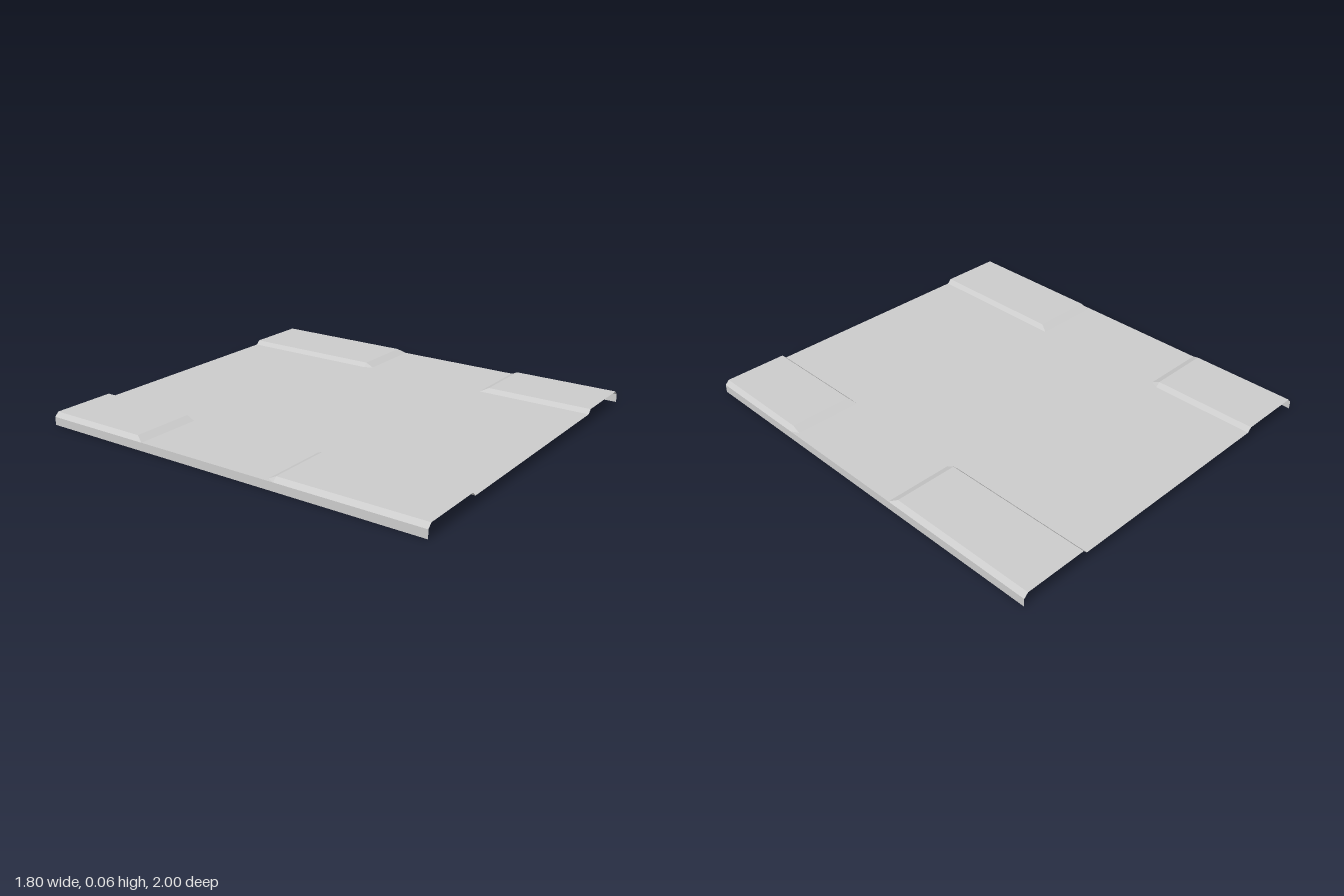
import * as THREE from 'three';

const ROAD_Y = 0.04, WALK_Y = 0.06;
const INNER = 0.55, OUTER = 0.9, BEVEL = 0.02, RAMP = 0.04;

// Joins rows of points into a flat-shaded sheet; flip reverses the facing.
function sheet(rows, flip = false) {
  const pos = [];
  for (let i = 0; i < rows.length - 1; i++) {
    for (let j = 0; j < rows[i].length - 1; j++) {
      const a = rows[i][j], b = rows[i + 1][j], c = rows[i + 1][j + 1], d = rows[i][j + 1];
      pos.push(...(flip ? [a, c, b, a, d, c] : [a, b, c, a, c, d]).flat());
    }
  }
  const geo = new THREE.BufferGeometry();
  geo.setAttribute('position', new THREE.Float32BufferAttribute(pos, 3));
  geo.computeVertexNormals();
  return geo;
}

export function createModel() {
  const model = new THREE.Group();
  model.name = 'roadTile';
  const concrete = new THREE.MeshStandardMaterial({ color: 0xcccccc, side: THREE.DoubleSide });
  concrete.name = 'concreteGrey';

  const add = (name, geo) => {
    const mesh = new THREE.Mesh(geo, concrete);
    mesh.name = name;
    model.add(mesh);
  };

  // Flat carriageway between the kerbs
  add('roadSurface', sheet([-1, 1].map(z => [-INNER, INNER].map(x => [x, ROAD_Y, z]))));

  // Pavement with bevelled kerbs, dipping to road level between lowFrom and lowTo
  const sides = [
    { name: 'left', s: 1, lowFrom: -0.22, lowTo: 0.43 },
    { name: 'right', s: -1, lowFrom: -0.44, lowTo: 0.25 },
  ];
  for (const { name, s, lowFrom, lowTo } of sides) {
    const stations = [
      [-1, WALK_Y], [lowFrom - RAMP, WALK_Y], [lowFrom, ROAD_Y],
      [lowTo, ROAD_Y], [lowTo + RAMP, WALK_Y], [1, WALK_Y],
    ];
    const rows = stations.map(([z, top]) => [
      [s * INNER, ROAD_Y, z], [s * (INNER + BEVEL), top, z],
      [s * (OUTER - BEVEL), top, z], [s * OUTER, ROAD_Y, z],
    ]);
    add(name + 'Pavement', sheet(rows, s < 0));

    // Upright skirt along the outer edge
    const skirt = [-1, 1].map(z => [[s * OUTER, ROAD_Y, z], [s * OUTER, 0, z]]);
    add(name + 'Skirt', sheet(skirt, s < 0));
  }
  return model;
}
